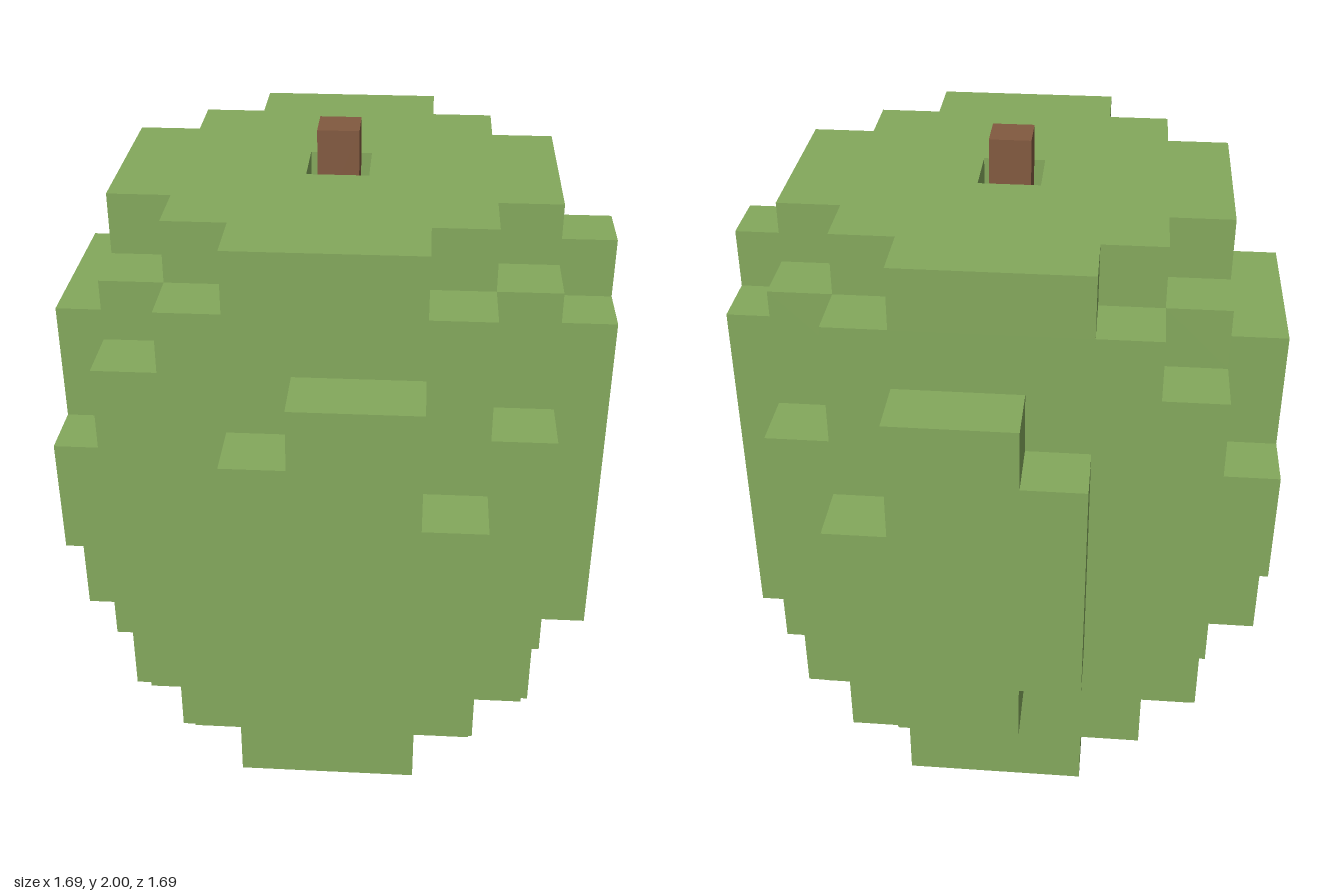
import * as THREE from 'three';

const U = 0.1875; // block size

// Outline of one quarter corner, in blocks, from the x side round to the z side
const CORNERS = [
  [[3.5, 3.5]],
  [[3.5, 2.5], [2.5, 2.5], [2.5, 3.5]],
  [[3.5, 1.5], [2.5, 1.5], [2.5, 2.5], [1.5, 2.5], [1.5, 3.5]],
];

const toShape = (pts) => new THREE.Shape(pts.map(([x, y]) => new THREE.Vector2(x * U, y * U)));
const extrude = (shape, blocks) =>
  new THREE.ExtrudeGeometry(shape, { depth: blocks * U, bevelEnabled: false });

// Horizontal slab with stepped corners; the two x sides may differ
function slabShape(rightCut, leftCut) {
  const r = CORNERS[rightCut], l = CORNERS[leftCut];
  return toShape([
    ...r,
    ...l.map(([x, y]) => [-x, y]).reverse(),
    ...l.map(([x, y]) => [-x, -y]),
    ...r.map(([x, y]) => [x, -y]).reverse(),
  ]);
}

// Raised panel made of neighbouring columns [x0, x1, y0, y1]
function panelShape(columns) {
  const bottom = columns.flatMap(([a, b, lo]) => [[a, lo], [b, lo]]);
  const top = columns.flatMap(([a, b, , hi]) => [[a, hi], [b, hi]]).reverse();
  return toShape([...bottom, ...top]);
}

export function createModel() {
  const group = new THREE.Group();
  const green = new THREE.MeshStandardMaterial({ color: 0x84a85c });
  green.name = 'rindGreen';
  const brown = new THREE.MeshStandardMaterial({ color: 0x825a40 });
  brown.name = 'stemBrown';

  // Body slabs: bottom, top, corner cut on +x, corner cut on -x
  const body = new THREE.Group();
  body.name = 'body';
  const slabs = [
    [0, 1, 2, 2], [1, 3, 1, 1], [3, 7, 0, 0],
    [7, 8, 1, 0], [8, 9, 1, 1], [9, 10, 2, 2],
  ];
  slabs.forEach(([y0, y1, right, left], i) => {
    const shape = slabShape(right, left);
    // Square recess around the stem
    if (y1 === 10) {
      shape.holes.push(toShape([[-0.5, -0.5], [-0.5, 0.5], [0.5, 0.5], [0.5, -0.5]]));
    }
    const geo = extrude(shape, y1 - y0).rotateX(-Math.PI / 2);
    const slab = new THREE.Mesh(geo, green);
    slab.name = `bodySlab${i + 1}`;
    slab.position.y = y0 * U;
    body.add(slab);
  });
  group.add(body);

  // Raised panels on the four sides
  const panels = [
    ['frontPanel', 0, [[-1.5, -0.5, 3, 7], [-0.5, 1.5, 2, 8], [1.5, 2.5, 4, 6]]],
    ['leftPanel', Math.PI / 2, [[-1.5, -0.5, 2, 8], [-0.5, 0.5, 2, 9], [0.5, 1.5, 2, 8]]],
    ['backPanel', Math.PI, [[-2.5, -1.5, 4, 6], [-1.5, 0.5, 2, 8], [0.5, 1.5, 3, 7]]],
    ['rightPanel', -Math.PI / 2, [[-2.5, -1.5, 4, 6], [-1.5, 1.5, 2, 8], [1.5, 2.5, 4, 6]]],
  ];
  for (const [name, angle, columns] of panels) {
    const geo = extrude(panelShape(columns), 1).translate(0, 0, 3.5 * U);
    const panel = new THREE.Mesh(geo, green);
    panel.name = name;
    panel.rotation.y = angle;
    group.add(panel);
  }

  // Stem standing in the recess
  const stemBase = 9 * U;
  const stem = new THREE.Mesh(new THREE.BoxGeometry(0.125, 2 - stemBase, 0.125), brown);
  stem.name = 'stem';
  stem.position.y = (2 + stemBase) / 2;
  group.add(stem);

  return group;
}
